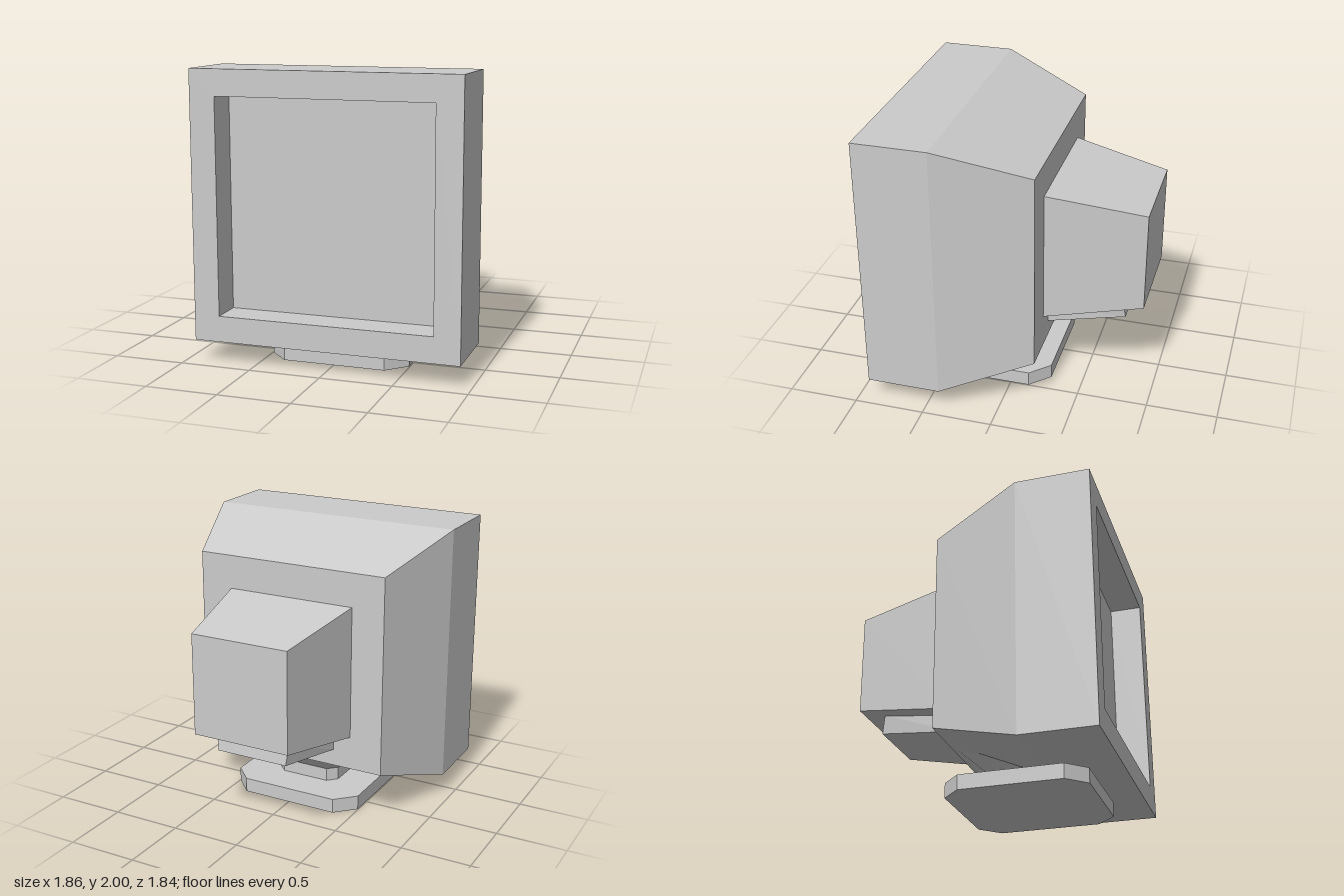
import * as THREE from 'three';

const material = new THREE.MeshStandardMaterial({ color: 0xcccccc, flatShading: true });

// Rectangular ring, counter-clockwise seen from +z
const rect = (halfWidth, y0, y1, z) => [
  [-halfWidth, y0, z], [halfWidth, y0, z], [halfWidth, y1, z], [-halfWidth, y1, z],
];

// Square ring with cut corners; c is half the length of the straight sides
const octagon = (r, c, z) => [
  [-c, -r, z], [c, -r, z], [r, -c, z], [r, c, z],
  [c, r, z], [-c, r, z], [-r, c, z], [-r, -c, z],
];

// Joins rings that advance along +z with flat faces and optional end caps
function loft(rings, capStart = true, capEnd = true) {
  const pos = [];
  const tri = (a, b, c) => pos.push(...a, ...b, ...c);
  const n = rings[0].length;
  for (let k = 0; k < rings.length - 1; k++) {
    const a = rings[k], b = rings[k + 1];
    for (let i = 0; i < n; i++) {
      const j = (i + 1) % n;
      tri(a[i], a[j], b[j]);
      tri(a[i], b[j], b[i]);
    }
  }
  const first = rings[0], last = rings[rings.length - 1];
  for (let i = 1; i < n - 1; i++) {
    if (capStart) tri(first[0], first[i + 1], first[i]);
    if (capEnd) tri(last[0], last[i], last[i + 1]);
  }
  const geometry = new THREE.BufferGeometry();
  geometry.setAttribute('position', new THREE.Float32BufferAttribute(pos, 3));
  geometry.computeVertexNormals();
  return geometry;
}

export function createModel() {
  const model = new THREE.Group();
  model.name = 'monitor';
  const add = (name, geometry, parent = model) => {
    const mesh = new THREE.Mesh(geometry, material);
    mesh.name = name;
    parent.add(mesh);
    return mesh;
  };

  // Casing: tapered back, straight front, bezel and recess walls
  add('casing', loft([
    rect(0.713, 0.36, 1.79, -0.235),
    rect(0.93, 0.15, 2, 0.4),
    rect(0.93, 0.15, 2, 0.92),
    rect(0.75, 0.33, 1.82, 0.92),
    rect(0.75, 0.33, 1.82, 0.69),
  ], true, false));

  // Flat screen at the bottom of the recess
  const screen = add('screen', new THREE.PlaneGeometry(1.5, 1.49));
  screen.position.set(0, 1.075, 0.69);

  // Tapered tube housing at the back
  add('tubeHousing', loft([
    rect(0.36, 0.715, 1.435, -0.92),
    rect(0.475, 0.6, 1.55, -0.235),
  ]));

  // Connector box under the housing, its back edge leaning outwards at the bottom
  add('connectorBox', loft([
    [[-0.265, 0.56, -0.78], [0.265, 0.56, -0.78], [0.28, 0.695, -0.76], [-0.28, 0.695, -0.76]],
    rect(0.345, 0.48, 0.61, -0.235),
  ]));

  // Stand: foot, neck and the flared swivel that enters the casing
  const stand = new THREE.Group();
  stand.name = 'stand';
  stand.position.z = 0.225;
  model.add(stand);
  const upright = (rings) => loft(rings).rotateX(-Math.PI / 2);
  add('foot', upright([octagon(0.495, 0.36, 0), octagon(0.495, 0.36, 0.105)]), stand);
  add('neck', upright([octagon(0.242, 0.178, 0.105), octagon(0.242, 0.178, 0.2)]), stand);
  add('swivel', upright([octagon(0.242, 0.178, 0.2), octagon(0.435, 0.318, 0.36)]), stand);

  return model;
}
